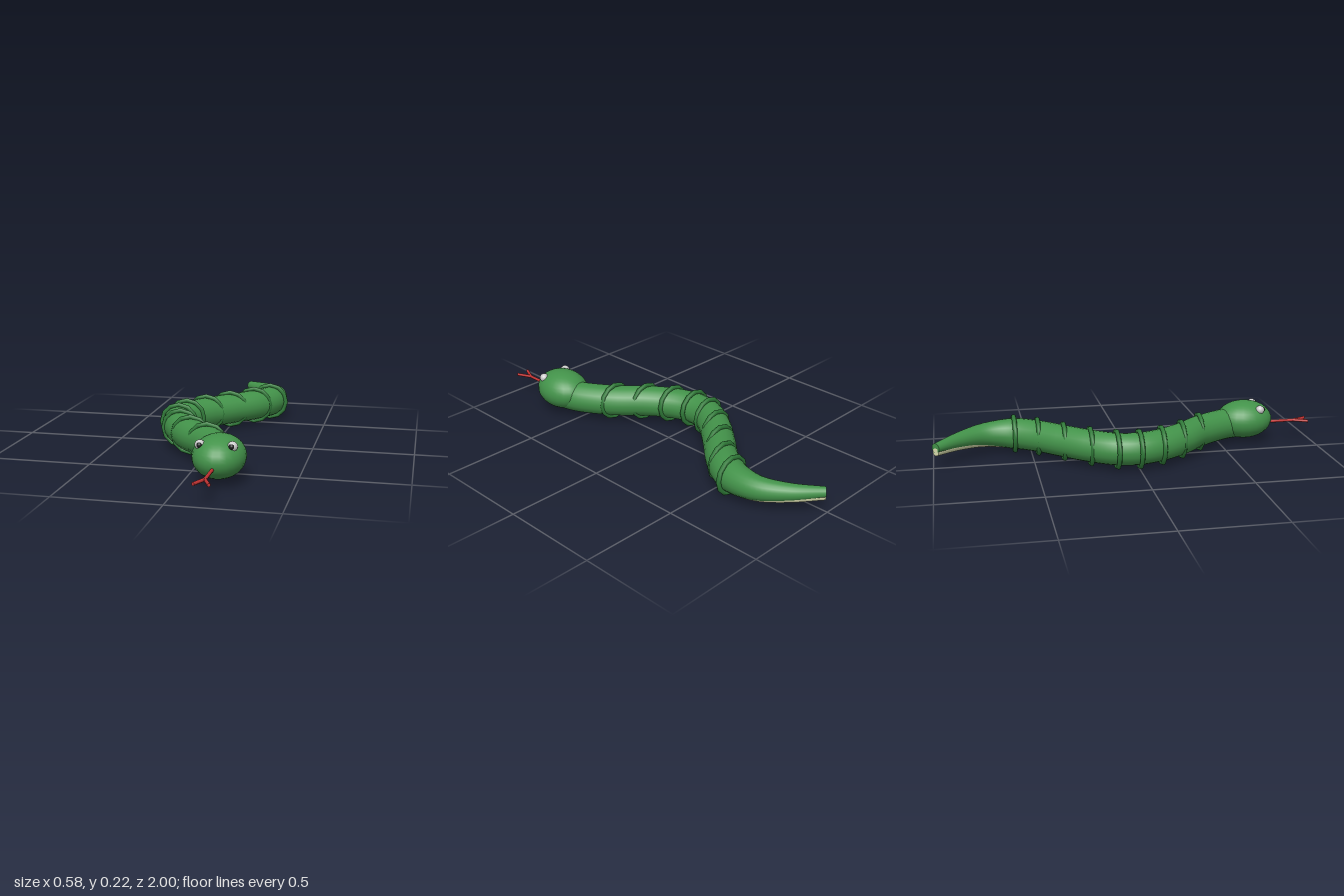
import * as THREE from 'three';

const material = (color) => new THREE.MeshStandardMaterial({ color });
const green = material(0x43934a);
const darkGreen = material(0x2f7a38);
const cream = material(0xd8dcae);
const red = material(0xc23333);
const white = material(0xe6e6e6);
const black = material(0x1c1c1c);

const BODY_Y = 0.103;
const TAIL_START = -0.59;

// Centre line of the body, [x, z] from the head to the tail tip
const PATH = [
  [0.165, 0.6], [0.14, 0.52], [0.04, 0.36], [-0.07, 0.24], [-0.15, 0.12], [-0.19, 0],
  [-0.175, -0.11], [-0.1, -0.23], [0.005, -0.35], [0.115, -0.47], [0.185, -0.585],
  [0.2, -0.68], [0.185, -0.76], [0.115, -0.87], [0.003, -0.985],
];

function pathAt(y) {
  return new THREE.CatmullRomCurve3(PATH.map(([x, z]) => new THREE.Vector3(x, y, z)));
}

// Tube along the path, narrowed behind the last ring, with a flat end
function taperedTube(name, y, radius, tipRadius, mat) {
  const group = new THREE.Group();
  group.name = name;
  const curve = pathAt(y);
  const steps = 96, sides = 20;
  const geo = new THREE.TubeGeometry(curve, steps, radius, sides);
  const pos = geo.attributes.position;
  const v = new THREE.Vector3();
  for (let i = 0; i <= steps; i++) {
    const centre = curve.getPointAt(i / steps);
    const t = THREE.MathUtils.clamp((TAIL_START - centre.z) / (TAIL_START + 0.985 * -1 + 2 * -TAIL_START), 0, 1);
    const taper = THREE.MathUtils.lerp(1, tipRadius / radius, taperAmount(centre.z, t));
    for (let j = 0; j <= sides; j++) {
      const k = i * (sides + 1) + j;
      v.fromBufferAttribute(pos, k).sub(centre).multiplyScalar(taper).add(centre);
      pos.setXYZ(k, v.x, v.y, v.z);
    }
  }
  const tube = new THREE.Mesh(geo, mat);
  tube.name = name + 'Tube';
  const end = new THREE.Mesh(new THREE.CircleGeometry(tipRadius, sides), mat);
  end.name = name + 'End';
  end.position.copy(curve.getPointAt(1));
  end.lookAt(end.position.clone().add(curve.getTangentAt(1)));
  group.add(tube, end);
  return group;
}

// 0 along the body, rising evenly to 1 at the tail tip
function taperAmount(z) {
  return THREE.MathUtils.clamp((TAIL_START - z) / (TAIL_START + 0.985), 0, 1);
}

function ellipsoid(name, mat, rx, ry, rz, x, y, z) {
  const mesh = new THREE.Mesh(new THREE.SphereGeometry(1, 24, 18), mat);
  mesh.name = name;
  mesh.scale.set(rx, ry, rz);
  mesh.position.set(x, y, z);
  return mesh;
}

function rod(name, mat, from, to, radius) {
  const a = new THREE.Vector3(...from), b = new THREE.Vector3(...to);
  const dir = b.clone().sub(a);
  const mesh = new THREE.Mesh(new THREE.CylinderGeometry(radius, radius, dir.length(), 8), mat);
  mesh.name = name;
  mesh.position.copy(a).add(b).multiplyScalar(0.5);
  mesh.quaternion.setFromUnitVectors(new THREE.Vector3(0, 1, 0), dir.normalize());
  return mesh;
}

export function createModel() {
  const model = new THREE.Group();
  model.name = 'snake';

  // Body and the pale belly that shows under the tail
  model.add(taperedTube('body', BODY_Y, 0.08, 0.025, green));
  model.add(taperedTube('belly', BODY_Y - 0.02, 0.06, 0.02, cream));

  // Nine upright rings around the body, all facing forward
  const rings = new THREE.Group();
  rings.name = 'bodyRings';
  const ringGeo = new THREE.TorusGeometry(0.09, 0.012, 8, 12);
  for (const [x, z] of PATH.slice(2, 11)) {
    const ring = new THREE.Mesh(ringGeo, darkGreen);
    ring.name = 'bodyRing';
    ring.position.set(x, 0.102, z);
    rings.add(ring);
  }
  model.add(rings);

  // Head with eyes
  const headX = 0.16;
  const head = new THREE.Group();
  head.name = 'head';
  head.add(ellipsoid('skull', green, 0.122, 0.1, 0.15, headX, 0.122, 0.64));
  for (const [side, s] of [['left', 1], ['right', -1]]) {
    const x = headX + s * 0.073;
    head.add(ellipsoid(side + 'Eye', white, 0.023, 0.023, 0.023, x, 0.186, 0.705));
    head.add(ellipsoid(side + 'Pupil', black, 0.013, 0.013, 0.013, x - s * 0.001, 0.188, 0.72));
  }
  model.add(head);

  // Forked tongue
  const tongue = new THREE.Group();
  tongue.name = 'tongue';
  const fork = [headX, 0.098, 0.92];
  tongue.add(rod('tongueStem', red, [headX, 0.098, 0.76], fork, 0.008));
  for (const [side, s] of [['left', 1], ['right', -1]]) {
    tongue.add(rod(side + 'TongueTip', red, fork, [headX + s * 0.034, 0.098, 0.994], 0.008));
  }
  model.add(tongue);

  return model;
}
